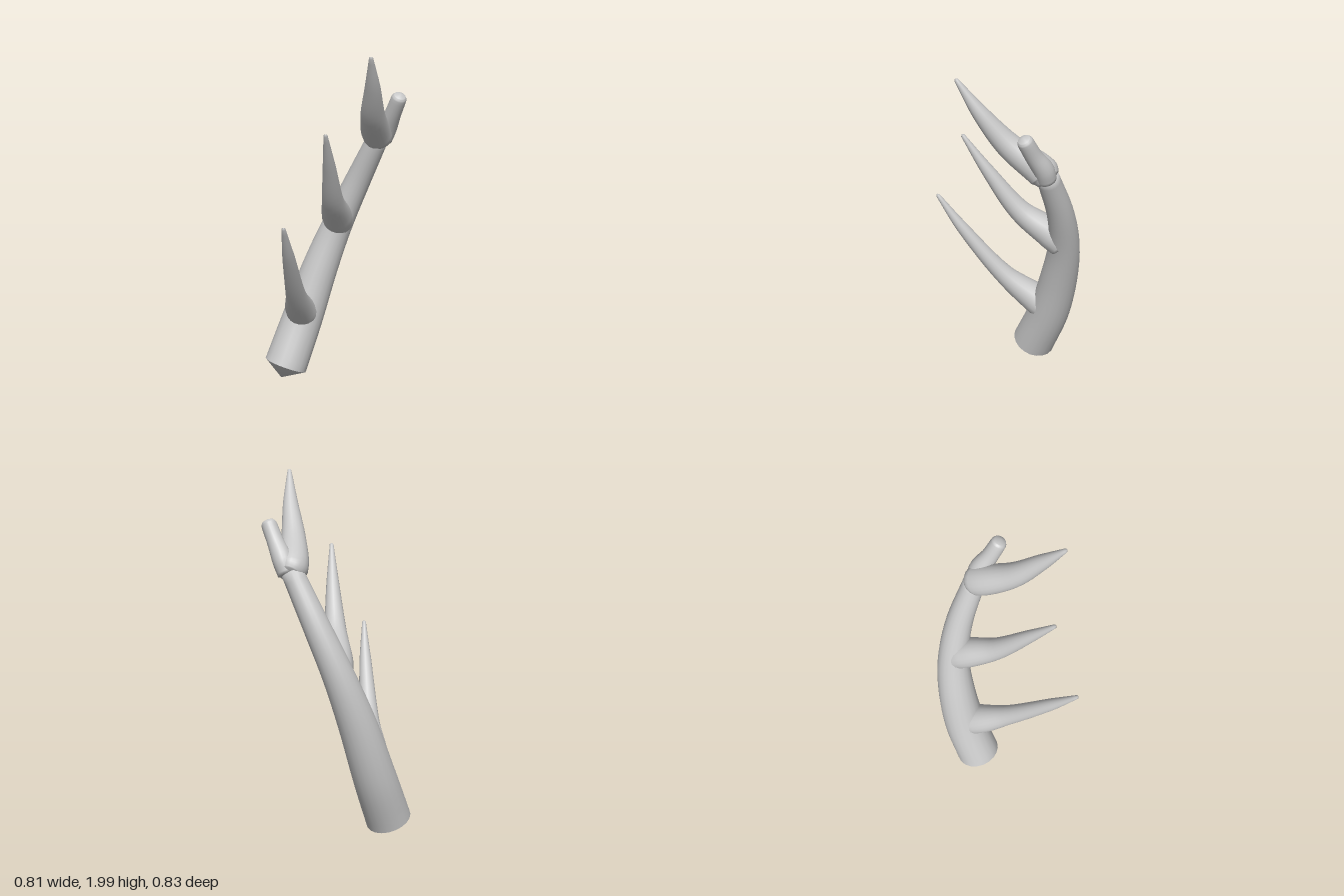
import * as THREE from 'three';

const SIDES = 20;

// Tapered limb along a smooth path; each station is [x, y, z, radius].
// tail and tip are how far the end points stick out beyond the end rings.
function limb(stations, steps, tail, tip, sharpTail = false) {
  const path = new THREE.CatmullRomCurve3(stations.map(s => new THREE.Vector3(s[0], s[1], s[2])));
  const size = new THREE.CatmullRomCurve3(
    stations.map((s, i) => new THREE.Vector3(s[3], i, 0)), false, 'catmullrom');
  const pos = [], idx = [];
  const ring = (t, scale = 1) => {
    const c = path.getPoint(t), d = path.getTangent(t), r = size.getPoint(t).x * scale;
    const u = new THREE.Vector3(1, 0, 0).addScaledVector(d, -d.x).normalize();
    const v = new THREE.Vector3().crossVectors(d, u);
    const start = pos.length / 3;
    for (let j = 0; j < SIDES; j++) {
      const a = j / SIDES * Math.PI * 2;
      const p = c.clone().addScaledVector(u, Math.cos(a) * r).addScaledVector(v, Math.sin(a) * r);
      pos.push(p.x, p.y, p.z);
    }
    return start;
  };
  const fan = (start, t, offset) => {
    const p = path.getPoint(t).addScaledVector(path.getTangent(t), offset);
    const apex = pos.length / 3;
    pos.push(p.x, p.y, p.z);
    for (let j = 0; j < SIDES; j++) {
      const a = start + j, b = start + (j + 1) % SIDES;
      if (offset > 0) idx.push(a, b, apex); else idx.push(b, a, apex);
    }
  };
  const first = ring(0);
  let prev = first;
  for (let i = 1; i <= steps; i++) {
    const next = ring(i / steps);
    for (let j = 0; j < SIDES; j++) {
      const k = (j + 1) % SIDES;
      idx.push(prev + j, prev + k, next + k, prev + j, next + k, next + j);
    }
    prev = next;
  }
  // a separate ring keeps the lower rim crisp
  fan(sharpTail ? ring(0) : first, 0, -tail);
  fan(prev, 1, tip);
  const geo = new THREE.BufferGeometry();
  geo.setAttribute('position', new THREE.Float32BufferAttribute(pos, 3));
  geo.setIndex(idx);
  geo.computeVertexNormals();
  return geo;
}

export function createModel() {
  const group = new THREE.Group();
  const bone = new THREE.MeshStandardMaterial({ color: 0xc8c8c8 });
  bone.name = 'boneGrey';
  const add = (name, geo) => {
    const mesh = new THREE.Mesh(geo, bone);
    mesh.name = name;
    group.add(mesh);
  };

  // curved main beam with a blunt pointed foot
  add('mainBeam', limb([
    [-0.285, 0.08, -0.14, 0.127],
    [-0.205, 0.35, -0.235, 0.12],
    [-0.115, 0.65, -0.3, 0.106],
    [-0.015, 0.92, -0.333, 0.088],
    [0.1, 1.18, -0.32, 0.074],
    [0.235, 1.47, -0.26, 0.06],
  ], 32, 0.08, 0.02, true));

  // three forward tines, flared where they leave the beam
  add('lowerTine', limb([
    [-0.185, 0.37, -0.25, 0.09],
    [-0.195, 0.44, -0.15, 0.088],
    [-0.175, 0.593, 0.026, 0.058],
    [-0.15, 0.905, 0.27, 0.034],
    [-0.14, 1.105, 0.403, 0.011],
  ], 24, 0.02, 0.01));
  add('middleTine', limb([
    [-0.005, 0.94, -0.32, 0.085],
    [-0.002, 1.0, -0.25, 0.086],
    [0.012, 1.127, -0.09, 0.062],
    [0.032, 1.37, 0.085, 0.036],
    [0.043, 1.575, 0.217, 0.011],
  ], 24, 0.02, 0.01));
  add('upperTine', limb([
    [0.25, 1.455, -0.27, 0.066],
    [0.235, 1.49, -0.235, 0.086],
    [0.24, 1.63, -0.06, 0.068],
    [0.265, 1.815, 0.085, 0.042],
    [0.278, 1.99, 0.2, 0.011],
  ], 24, 0.025, 0.01));

  // short blunt end of the beam beside the upper tine
  add('endStub', limb([
    [0.258, 1.46, -0.26, 0.054],
    [0.285, 1.53, -0.245, 0.056],
    [0.325, 1.62, -0.2, 0.046],
    [0.364, 1.715, -0.162, 0.042],
    [0.37, 1.73, -0.156, 0.032],
  ], 16, 0.02, 0.012));

  return group;
}
